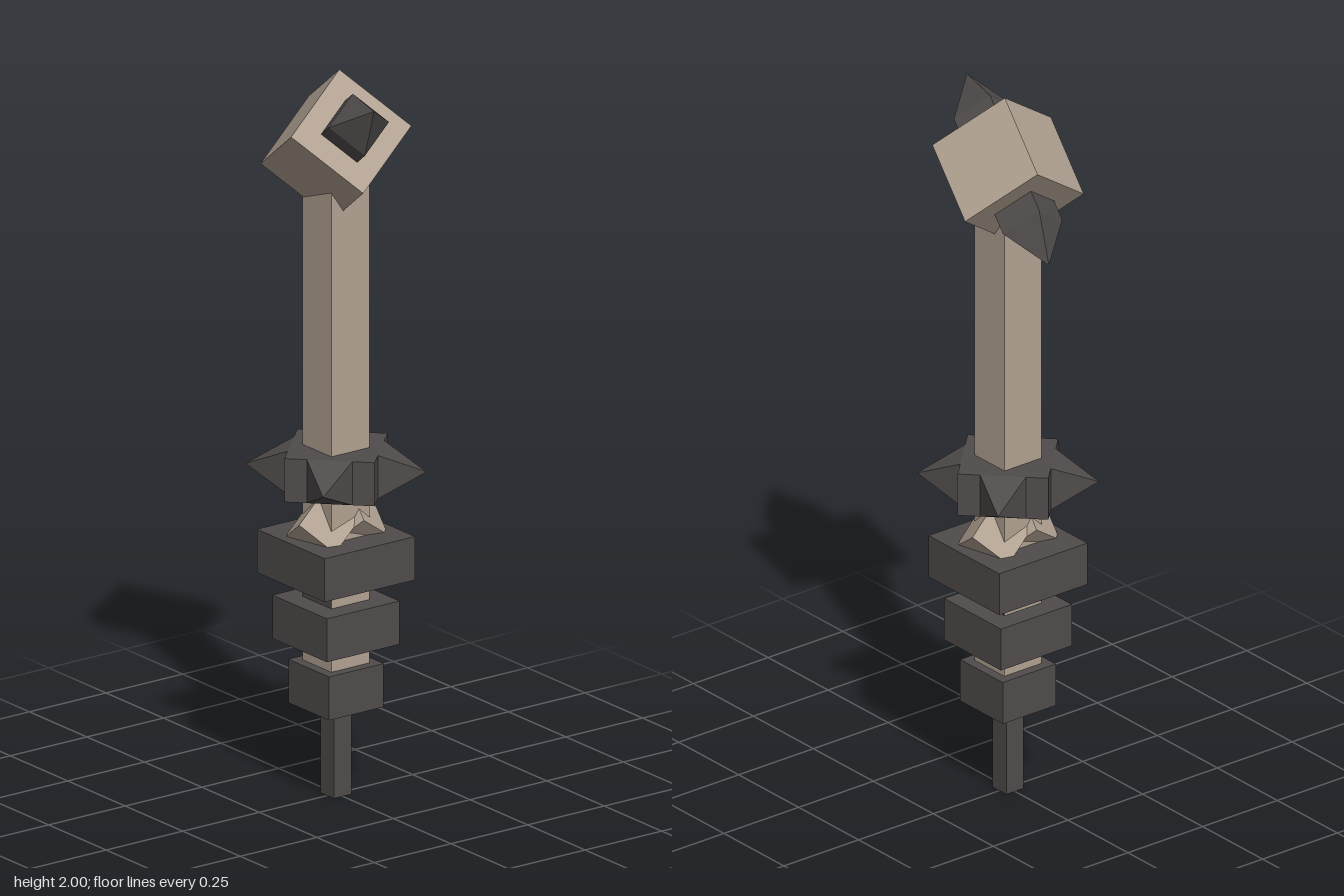
import * as THREE from 'three';

export function createModel() {
  const model = new THREE.Group();
  const stone = new THREE.MeshStandardMaterial({ color: 0xb3a393, flatShading: true });
  stone.name = 'pale stone';
  const iron = new THREE.MeshStandardMaterial({ color: 0x504c4b, flatShading: true });
  iron.name = 'dark iron';

  function box(name, w, h, d, mat, y = 0, parent = model) {
    const mesh = new THREE.Mesh(new THREE.BoxGeometry(w, h, d), mat);
    mesh.name = name;
    mesh.position.y = y;
    parent.add(mesh);
    return mesh;
  }

  // Square pyramid with its base at y = 0
  function pyramid(name, parent) {
    const geo = new THREE.ConeGeometry(0.06 * Math.SQRT2, 0.12, 4);
    geo.rotateY(Math.PI / 4).translate(0, 0.06, 0);
    const mesh = new THREE.Mesh(geo, iron);
    mesh.name = name;
    parent.add(mesh);
    return mesh;
  }

  // Tilt shared by the head and the small blocks
  const up = new THREE.Vector3(-0.187, 0.567, 0.802).normalize();
  const side = new THREE.Vector3(-0.8, -0.55, 0.2);
  side.addScaledVector(up, -side.dot(up)).normalize();
  const tilt = new THREE.Quaternion().setFromRotationMatrix(
    new THREE.Matrix4().makeBasis(side, up, side.clone().cross(up)));

  // Shaft, with iron side faces between the two widest plates
  box('upperShaft', 0.124, 1.2, 0.124, stone, 1.2);
  box('middleShaft', 0.124, 0.06, 0.124, [iron, iron, stone, stone, stone, stone], 0.57);
  box('lowerShaft', 0.124, 0.24, 0.124, stone, 0.42);

  // Grip and stepped plates
  box('grip', 0.058, 0.245, 0.058, iron, 0.1225);
  [[0.178, 0.305], [0.237, 0.48], [0.295, 0.66]].forEach(([w, y], i) =>
    box(`plate${i + 1}`, w, 0.12, w, iron, y));

  // Spiked collar, turned so its spikes point diagonally
  const collar = new THREE.Group();
  collar.name = 'spikedCollar';
  collar.position.y = 0.9;
  collar.rotation.y = Math.PI / 4;
  model.add(collar);
  box('collarBody', 0.238, 0.12, 0.238, iron, 0, collar);
  for (let i = 0; i < 4; i++) {
    const arm = new THREE.Group();
    arm.name = 'collarArm';
    arm.rotation.y = i * Math.PI / 2;
    collar.add(arm);
    const spike = pyramid('collarSpike', arm);
    spike.position.z = 0.119;
    spike.rotation.x = Math.PI / 2;
  }

  // Pair of tilted blocks under the collar, half a turn apart
  for (let i = 0; i < 2; i++) {
    const pivot = new THREE.Group();
    pivot.name = 'blockPivot';
    pivot.rotation.y = i * Math.PI;
    model.add(pivot);
    const block = box('tiltedBlock', 0.12, 0.12, 0.12, stone, 0.74, pivot);
    block.position.x = -0.047;
    block.quaternion.copy(tilt);
  }

  // Tilted head cube with a studded spike on two opposite faces
  const head = new THREE.Group();
  head.name = 'head';
  head.position.y = 1.792;
  head.quaternion.copy(tilt);
  model.add(head);
  box('headCube', 0.24, 0.24, 0.24, stone, 0, head);
  for (let i = 0; i < 2; i++) {
    const stud = new THREE.Group();
    stud.name = 'headSpike';
    stud.rotation.x = i * Math.PI;
    head.add(stud);
    box('spikeBase', 0.12, 0.12, 0.12, iron, 0.12, stud);
    pyramid('spikeTip', stud).position.y = 0.18;
  }
  return model;
}
